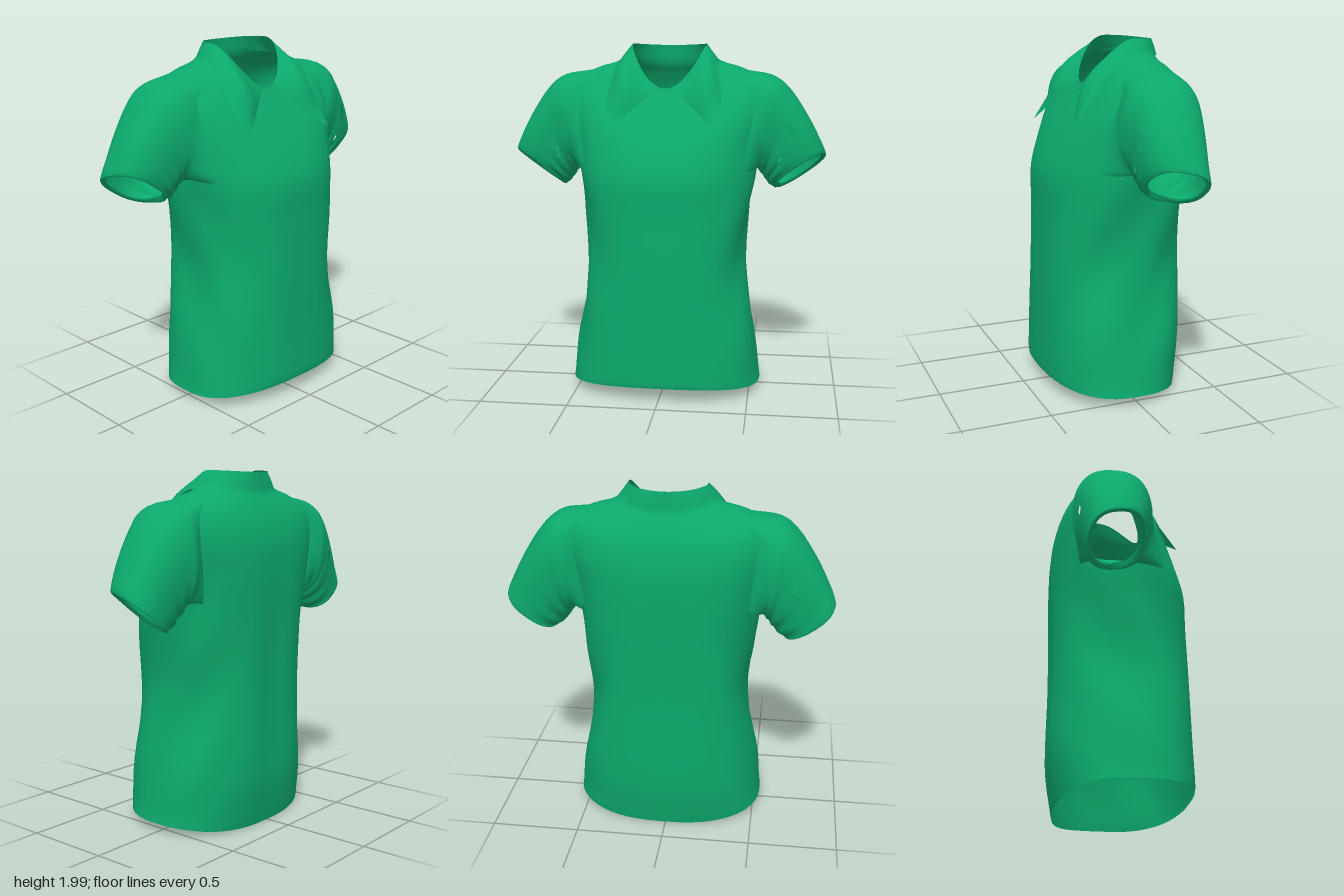
import * as THREE from 'three';

const V = (x, y, z) => new THREE.Vector3(x, y, z);
const spow = (v, p) => Math.sign(v) * Math.abs(v) ** p;

// Skin a grid of rows of points; quads for which open(row, column) holds are left out.
function skin(rows, closed, open = () => false) {
  const n = rows[0].length, index = [];
  for (let r = 0; r < rows.length - 1; r++) {
    for (let c = 0; c < (closed ? n : n - 1); c++) {
      if (open(r, c)) continue;
      const a = r * n + c, b = r * n + (c + 1) % n;
      index.push(a, a + n, b, b, a + n, b + n);
    }
  }
  const g = new THREE.BufferGeometry().setFromPoints(rows.flat());
  g.setIndex(index);
  g.computeVertexNormals();
  return g;
}

// Smooth between rows, column by column.
function smoothRows(rows, steps) {
  const count = (rows.length - 1) * steps;
  const columns = rows[0].map((_, c) =>
    new THREE.CatmullRomCurve3(rows.map(r => r[c]), false, 'catmullrom', 0.5).getPoints(count));
  return Array.from({ length: count + 1 }, (_, r) => columns.map(col => col[r]));
}

// Torso rings: side y, front y, back y, half width, front z, back z, side z, roundness
const torsoRings = [
  [0.055, 0.09, 0.005, 0.55, 0.405, -0.35, 0.02, 0.80],
  [0.12, 0.14, 0.08, 0.54, 0.41, -0.365, 0.02, 0.80],
  [0.35, 0.35, 0.32, 0.515, 0.405, -0.40, 0.02, 0.80],
  [0.75, 0.75, 0.75, 0.45, 0.40, -0.40, 0, 0.78],
  [1.05, 1.05, 1.05, 0.475, 0.39, -0.405, -0.02, 0.80],
  [1.25, 1.25, 1.25, 0.505, 0.385, -0.41, -0.03, 0.82],
  [1.45, 1.38, 1.45, 0.53, 0.34, -0.41, -0.07, 0.80],
  [1.65, 1.50, 1.60, 0.56, 0.28, -0.40, -0.10, 0.8],
  [1.79, 1.60, 1.72, 0.54, 0.22, -0.37, -0.11, 0.85],
  [1.86, 1.68, 1.82, 0.42, 0.17, -0.32, -0.11, 0.92],
  [1.905, 1.73, 1.88, 0.285, 0.14, -0.285, -0.11, 1],
  [1.995, 1.75, 1.985, 0.215, 0.13, -0.275, -0.10, 1],
];
function torsoPoint([sy, fy, by, hw, zf, zb, sz, p], a) {
  const c = Math.cos(a), s = Math.sin(a);
  const z = s > 0 ? zf : zb, y = s > 0 ? fy : by;
  return V(0.01 + hw * spow(c, p), sy + (y - sy) * s * s, sz + (z - sz) * Math.abs(s) ** p);
}

// Armholes: rows LOW to HIGH of the torso grid, HALF columns to each side of the flank
const COLS = 56, LOW = 21, HIGH = 35, HALF = 5;

// Sleeve rings: top x, top y, bottom x, bottom y, front z, back z, backward slant of the ring
const sleeveRings = [
  [0.60, 1.82, 0.53, 1.275, 0.13, -0.32, 0],
  [0.70, 1.745, 0.55, 1.25, 0.105, -0.305, 0],
  [0.80, 1.60, 0.57, 1.22, 0.09, -0.285, 0.01],
  [0.87, 1.47, 0.595, 1.19, 0.075, -0.265, 0.03],
  [0.91, 1.375, 0.63, 1.17, 0.055, -0.255, 0.045],
  [0.88, 1.37, 0.645, 1.20, 0.035, -0.235, 0.045],
];

export function createModel() {
  const shirt = new THREE.Group();
  shirt.name = 'poloShirt';
  const green = new THREE.MeshStandardMaterial({ color: 0x0ca96b, side: THREE.DoubleSide });
  green.name = 'green cloth';
  const add = (name, geometry) => {
    const mesh = new THREE.Mesh(geometry, green);
    mesh.name = name;
    shirt.add(mesh);
  };

  // Torso, from hem to the fold of the collar
  const torso = smoothRows(torsoRings.map(ring =>
    Array.from({ length: COLS }, (_, i) => torsoPoint(ring, i / COLS * Math.PI * 2))), 4);
  // Soft folds: a hollow along the spine, slanting creases on the flanks
  for (const q of torso.flat()) {
    const body = Math.max(0, Math.sin(Math.PI * Math.min(1, q.y / 1.6)));
    if (q.z < -0.2) q.z += 0.025 * body * Math.exp(-((q.x / 0.1) ** 2));
    const flank = body * Math.min(1, Math.max(0, Math.abs(q.x) - 0.2) * 4);
    const fold = 0.01 * flank * Math.sin(q.y * 9 + q.z * 14 + q.x * 3);
    q.x += Math.sign(q.x) * fold;
    q.z += Math.sign(q.z) * fold * 0.6;
  }
  add('torso', skin(torso, true, (r, c) =>
    r >= LOW && r < HIGH && (c + HALF) % (COLS / 2) < 2 * HALF));

  // Sleeves, growing out of the armholes, with a turned-in hem
  const rim = [];
  for (let k = 0; k < HALF; k++) rim.push([HIGH, k]);
  for (let r = HIGH; r > LOW; r--) rim.push([r, HALF]);
  for (let k = HALF; k > -HALF; k--) rim.push([LOW, k]);
  for (let r = LOW; r < HIGH; r++) rim.push([r, -HALF]);
  for (let k = -HALF; k < 0; k++) rim.push([HIGH, k]);
  for (const side of [1, -1]) {
    const armhole = rim.map(([r, k]) =>
      torso[r][side > 0 ? (k + COLS) % COLS : COLS / 2 - k].clone());
    const angles = armhole.map(q => Math.atan2((q.z + 0.08) / 0.22, (q.y - 1.57) / 0.27));
    const rings = sleeveRings.map(([tx, ty, bx, by, zf, zb, slant]) => angles.map(a => {
      const c = spow(Math.cos(a), 0.85), s = spow(Math.sin(a), 0.8);
      const x = (tx + bx) / 2 + (tx - bx) / 2 * c - slant * s * 0.6;
      const y = (ty + by) / 2 + (ty - by) / 2 * c + slant * s * 0.8;
      return V(side * x + 0.003, y, (zf + zb) / 2 + (zf - zb) / 2 * s);
    }));
    const rows = smoothRows([armhole, ...rings], 4);
    // Creases gathering towards the armpit
    rows.forEach((row, r) => row.forEach((q, c) => {
      const low = Math.max(0, -Math.cos(angles[c]));
      q.z += Math.sign(q.z + 0.1) * 0.012 * low * Math.sin(r * 1.3);
    }));
    // Small tears
    const tears = side > 0 ? ['10,10', '11,10', '11,11', '12,14'] : ['9,14', '10,15', '10,35'];
    add(side > 0 ? 'leftSleeve' : 'rightSleeve', skin(rows, true, (r, c) => tears.includes(`${r},${c}`)));
  }

  // Collar: folds over the neckline, loose points in front, lying on the shoulders behind
  const half = [[0.315, 1.51, 0.31], [0.32, 1.69, 0.185], [0.30, 1.82, 0.085], [0.288, 1.885, -0.01],
    [0.28, 1.90, -0.13], [0.16, 1.90, -0.26], [0, 1.89, -0.287]];
  const outline = [...half, ...half.slice(0, -1).reverse().map(([x, y, z]) => [-x, y, z])];
  const fall = new THREE.CatmullRomCurve3(outline.map(([x, y, z]) => V(x + 0.008, y, z)),
    false, 'catmullrom', 0.5).getPoints(48);
  const neckline = torsoRings[torsoRings.length - 1];
  const top = fall.map((_, i) => torsoPoint(neckline, Math.PI / 2 - 0.15 - i / 48 * (Math.PI * 2 - 0.3)));
  const middle = top.map((q, i) => {
    const puff = Math.sin(Math.PI * Math.min(1, Math.min(i, 48 - i) / 24 * 2.6));
    return q.clone().lerp(fall[i], 0.5).add(V(0, 0.005, 0.065 * puff));
  });
  add('collar', skin(smoothRows([top, middle, fall], 4), false));

  // Narrow placket edge under the collar opening
  const placket = [-0.01, 0.004].map(x => [V(x, 1.72, 0.157), V(x, 1.68, 0.183), V(x - 0.004, 1.62, 0.217)]);
  add('placket', skin(placket, false));

  return shirt;
}
